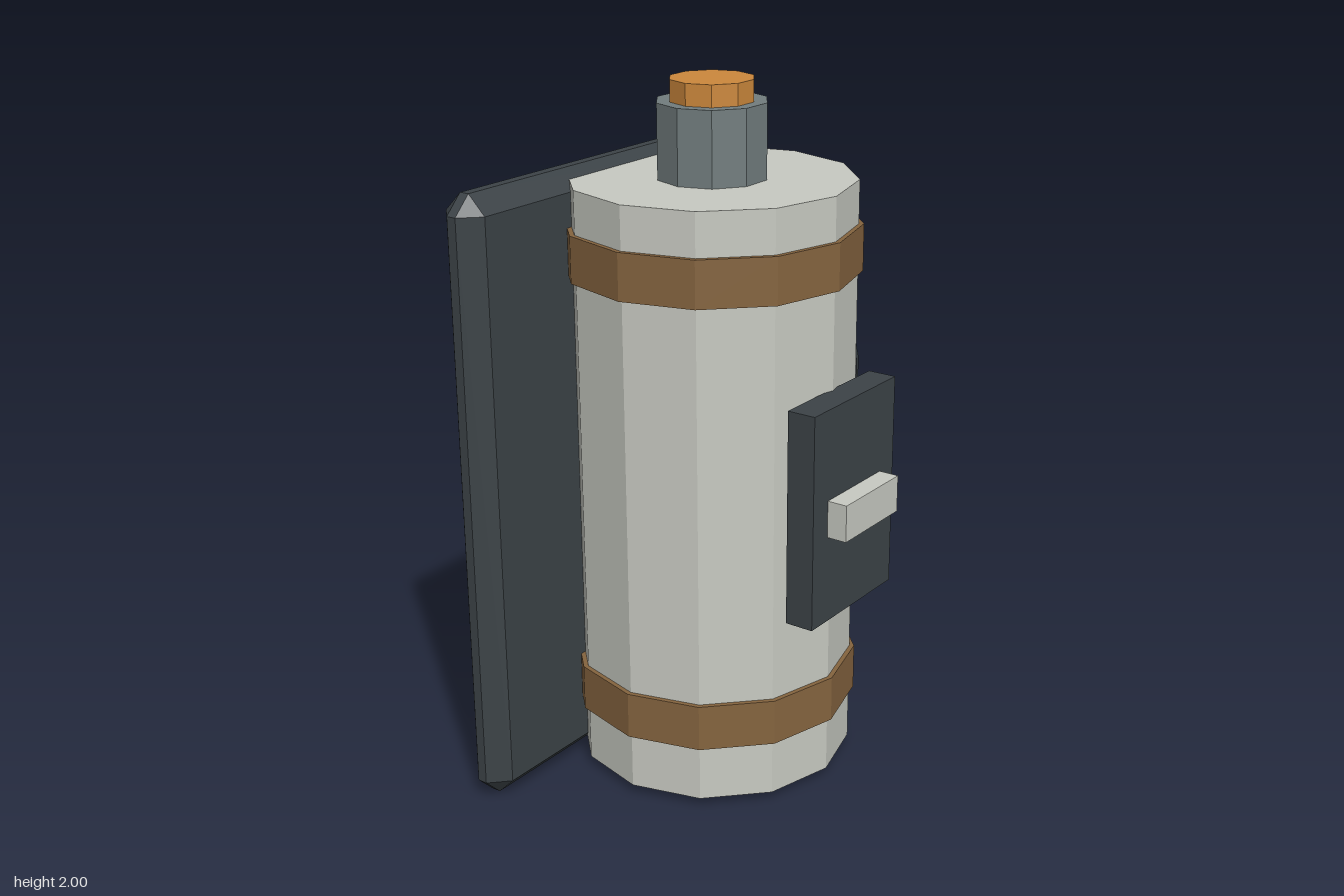
import * as THREE from 'three';
import { ConvexGeometry } from 'three/addons/geometries/ConvexGeometry.js';

const mat = (color) => new THREE.MeshStandardMaterial({ color, flatShading: true });

export function createModel() {
  const group = new THREE.Group();
  const dark = mat(0x3c4347), light = mat(0xc8cac2), steel = mat(0x727d7e);
  const brown = mat(0x85643f), orange = mat(0xcc883c);
  const CX = -0.045, CZ = -0.061; // axis of the canister

  function add(name, geometry, material, x = 0, y = 0, z = 0) {
    const mesh = new THREE.Mesh(geometry, material);
    mesh.name = name;
    mesh.position.set(x, y, z);
    group.add(mesh);
    return mesh;
  }

  // Upright prism on the canister axis, between two heights
  const drum = (name, r, y0, y1, sides, material) =>
    add(name, new THREE.CylinderGeometry(r, r, y1 - y0, sides), material, CX, (y0 + y1) / 2, CZ);

  // Box given by its limits on each axis
  const box = (name, x0, x1, y0, y1, z0, z1, material) =>
    add(name, new THREE.BoxGeometry(x1 - x0, y1 - y0, z1 - z0), material,
      (x0 + x1) / 2, (y0 + y1) / 2, (z0 + z1) / 2);

  // Canister, straps, neck and cap
  drum('canister', 0.4, 0.03, 1.732, 12, light);
  drum('lowerStrap', 0.414, 0.195, 0.33, 12, brown);
  drum('upperStrap', 0.414, 1.478, 1.61, 12, brown);
  drum('neck', 0.155, 1.7, 1.94, 10, steel).rotation.y = Math.PI / 2;
  drum('cap', 0.118, 1.9, 2.0, 10, orange).rotation.y = Math.PI / 2;

  // Front panel and its raised label plate
  box('frontPanel', -0.248, 0.154, 0.58, 1.197, 0.33, 0.414, dark);
  box('labelPlate', -0.178, 0.086, 0.832, 0.938, 0.38, 0.473, light);

  // Back plate: box with every edge chamfered
  const X = 0.67, Y = 0.877, Z = 0.0675, b = 0.053;
  const corners = [];
  for (const sx of [-1, 1]) for (const sy of [-1, 1]) for (const sz of [-1, 1]) {
    corners.push(
      new THREE.Vector3(sx * X, sy * (Y - b), sz * (Z - b)),
      new THREE.Vector3(sx * (X - b), sy * Y, sz * (Z - b)),
      new THREE.Vector3(sx * (X - b), sy * (Y - b), sz * Z));
  }
  add('backPlate', new ConvexGeometry(corners), dark, CX, 0.882, -0.393);

  // Hose: coarse six-sided tube with a closed free end
  const path = new THREE.CatmullRomCurve3([
    new THREE.Vector3(0.25, 1.52, -0.105),
    new THREE.Vector3(0.585, 1.4, -0.12),
    new THREE.Vector3(0.662, 0.99, -0.08),
    new THREE.Vector3(0.525, 0.67, 0.005),
  ]);
  const segments = 3, sides = 6;
  const hose = new THREE.TubeGeometry(path, segments, 0.06, sides);
  const index = Array.from(hose.index.array), s = segments * (sides + 1);
  for (let i = 1; i < sides - 1; i++) index.push(s, s + i + 1, s + i);
  hose.setIndex(index);
  add('hose', hose, dark);

  return group;
}
